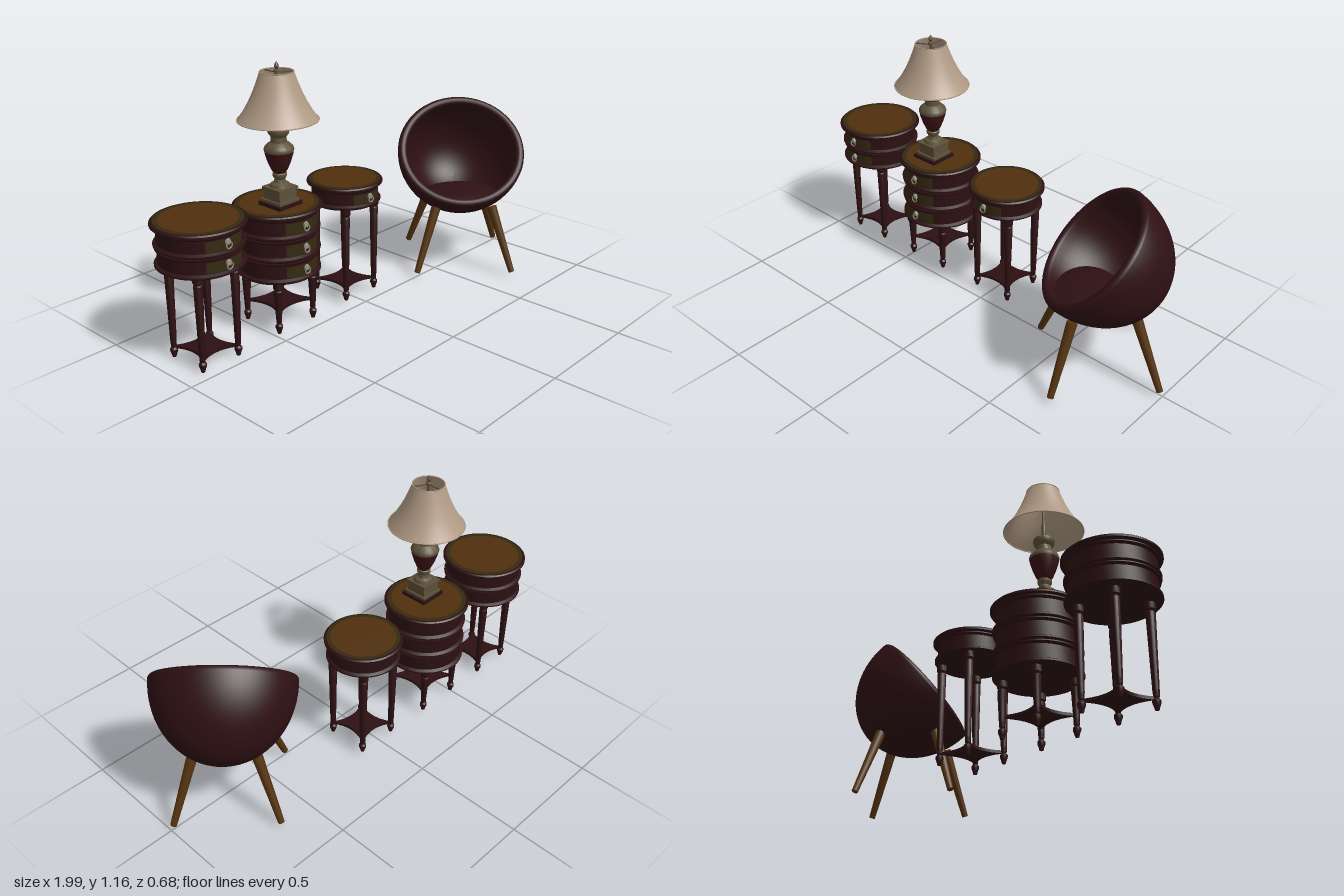
import * as THREE from 'three';
import { toCreasedNormals } from 'three/addons/utils/BufferGeometryUtils.js';

const mat = (name, color, side = THREE.FrontSide) => {
  const m = new THREE.MeshStandardMaterial({ color, side });
  m.name = name;
  return m;
};

export function createModel() {
  const darkWood = mat('dark red wood', 0x2c1012);
  const fabric = mat('maroon fabric', 0x2e1013);
  const gold = mat('inlaid golden top', 0x50300f);
  const olive = mat('olive border', 0x342a10);
  const oak = mat('brown leg wood', 0x54330f);
  const bronze = mat('aged bronze', 0x5c5038);
  const pewter = mat('pewter pulls', 0x908a7c);
  const glaze = mat('red glaze', 0x3a1214);
  const linen = mat('linen shade', 0xb09a84, THREE.DoubleSide);

  const model = new THREE.Group();
  const add = (parent, name, geo, material, x = 0, y = 0, z = 0) => {
    const m = new THREE.Mesh(geo, material);
    m.name = name;
    m.position.set(x, y, z);
    parent.add(m);
    return m;
  };
  const group = (name, x, y, z, parent = model) => {
    const g = new THREE.Group();
    g.name = name;
    g.position.set(x, y, z);
    parent.add(g);
    return g;
  };
  // Turned shape from [radius, height] pairs, bottom to top
  const turned = (pts, seg = 48, crease = 0.6) => toCreasedNormals(
    new THREE.LatheGeometry(pts.map(([r, y]) => new THREE.Vector2(r, y)), seg), crease);

  // ---- Round side table with a stack of drawers ----
  function table(name, x, o) {
    const g = group(name, x, 0, -0.15);
    const { R, top, bottom, drawers, foot, shelf, leg } = o;
    const slab = 0.018;
    const h = (top - slab - bottom) / drawers;

    add(g, 'tableTop', turned([[0, top - slab], [R * 0.94, top - slab], [R, top - slab * 0.7],
      [R, top - slab * 0.3], [R * 0.97, top], [0, top]], 64), darkWood);
    add(g, 'topBorder', new THREE.CylinderGeometry(R * 0.93, R * 0.93, 0.002, 64), olive, 0, top + 0.0005, 0);
    add(g, 'topInlay', new THREE.CylinderGeometry(R * 0.83, R * 0.83, 0.002, 64), gold, 0, top + 0.0015, 0);

    for (let i = 0; i < drawers; i++) {
      const y = bottom + i * h;
      const r = R * 0.88;
      add(g, 'drawer', turned([[0, y], [r, y], [R * 0.95, y + h * 0.1], [R * 0.95, y + h * 0.17],
        [r, y + h * 0.25], [r, y + h * 0.86], [R * 0.93, y + h * 0.95], [R * 0.93, y + h], [0, y + h]], 64), darkWood);
      // Curved front panel with a rosette and drop ring
      const mid = y + h * 0.55;
      add(g, 'drawerPanel', new THREE.CylinderGeometry(r + 0.003, r + 0.003, h * 0.52, 16, 1, true, -0.55, 1.1),
        olive, 0, mid, 0);
      const rosette = add(g, 'pullRosette', new THREE.CylinderGeometry(0.01, 0.015, 0.012, 12), pewter, 0, mid + 0.006, r + 0.006);
      rosette.rotation.x = Math.PI / 2;
      add(g, 'pullRing', new THREE.TorusGeometry(0.014, 0.003, 6, 20), pewter, 0, mid - 0.006, r + 0.011);
    }

    // Tapered turned legs
    const L = bottom + 0.01 - foot;
    const legGeo = turned([[0, 0], [0.008, 0], [0.011, 0.012], [0.016, 0.026], [0.016, 0.036], [0.009, 0.044],
      [0.012, 0.05], [0.012, 0.06], [0.013, 0.075], [0.019, L - 0.05], [0.015, L - 0.044],
      [0.021, L - 0.036], [0.021, L]], 14);
    for (const sx of [-1, 1]) for (const sz of [-1, 1]) add(g, 'tableLeg', legGeo, darkWood, sx * leg, foot, sz * leg);

    // Lower shelf with hollowed sides
    const c = leg + 0.005, k = leg * 0.35;
    const s = new THREE.Shape();
    s.moveTo(-c, -c);
    s.quadraticCurveTo(0, -k, c, -c);
    s.quadraticCurveTo(k, 0, c, c);
    s.quadraticCurveTo(0, k, -c, c);
    s.quadraticCurveTo(-k, 0, -c, -c);
    const shelfGeo = new THREE.ExtrudeGeometry(s, { depth: 0.012, bevelEnabled: false, curveSegments: 14 });
    shelfGeo.rotateX(-Math.PI / 2);
    add(g, 'lowerShelf', shelfGeo, darkWood, 0, shelf - 0.006, 0);
  }
  table('twoDrawerTable', -0.803, { R: 0.192, top: 0.604, bottom: 0.415, drawers: 2, foot: 0, shelf: 0.045, leg: 0.092 });
  table('threeDrawerTable', -0.39, { R: 0.19, top: 0.555, bottom: 0.25, drawers: 3, foot: 0.015, shelf: 0.105, leg: 0.1 });
  table('oneDrawerTable', 0.022, { R: 0.17, top: 0.558, bottom: 0.455, drawers: 1, foot: 0.015, shelf: 0.065, leg: 0.093 });

  // ---- Table lamp ----
  const lamp = group('lamp', -0.4, 0.556, -0.117);
  const steps = [[0.13, 0, 0.016, darkWood], [0.112, 0.016, 0.012, bronze], [0.094, 0.028, 0.044, bronze], [0.106, 0.072, 0.01, bronze]];
  for (const [w, y, h, m] of steps) add(lamp, 'lampPlinth', new THREE.BoxGeometry(w, h, w), m, 0, y + h / 2, 0);
  add(lamp, 'lampFoot', turned([[0.044, 0.082], [0.04, 0.094], [0.026, 0.102], [0.022, 0.115], [0.03, 0.128],
    [0.03, 0.138], [0.024, 0.144]], 32), bronze);
  add(lamp, 'lampBody', turned([[0.024, 0.14], [0.034, 0.155], [0.047, 0.185], [0.058, 0.22], [0.061, 0.236]], 40), glaze);
  add(lamp, 'lampShoulder', turned([[0.061, 0.234], [0.063, 0.242], [0.059, 0.254], [0.046, 0.266], [0.034, 0.274],
    [0.032, 0.296], [0.042, 0.308], [0.046, 0.322], [0.044, 0.33], [0.022, 0.334], [0.02, 0.345], [0.009, 0.348],
    [0.009, 0.4], [0.006, 0.405], [0.006, 0.568], [0, 0.568]], 40), bronze);
  const shadeTop = 0.565;
  add(lamp, 'lampShade', new THREE.LatheGeometry([[0.167, 0.367], [0.143, 0.4], [0.12, 0.44], [0.101, 0.48], [0.085, 0.52],
    [0.069, shadeTop]].map(([r, y]) => new THREE.Vector2(r, y)), 48), linen);
  for (const [r, y] of [[0.167, 0.368], [0.069, shadeTop]]) {
    add(lamp, 'shadeTrim', new THREE.TorusGeometry(r, 0.0025, 6, 48), linen, 0, y, 0).rotation.x = Math.PI / 2;
  }
  // Three-armed shade support
  for (let i = 0; i < 3; i++) {
    const arm = group('shadeArm', 0, shadeTop - 0.004, 0, lamp);
    arm.rotation.y = Math.PI + i * Math.PI * 2 / 3;
    add(arm, 'armRod', new THREE.BoxGeometry(0.005, 0.004, 0.068), bronze, 0, 0, 0.034);
  }
  add(lamp, 'lampFinial', turned([[0.012, 0.562], [0.012, 0.57], [0.005, 0.575], [0.01, 0.586], [0.007, 0.597], [0, 0.606]], 16), bronze);

  // ---- Egg-shaped tub chair, turned toward the front right ----
  const chair = group('chair', 0.673, 0, 0.002);
  const body = group('chairBody', 0, 0, 0, chair);
  body.rotation.y = -Math.PI / 4;
  const profile = [];
  for (let i = 0; i <= 20; i++) {           // outer shell
    const a = i / 20 * Math.PI / 2;
    profile.push(new THREE.Vector2(Math.sin(a), -0.345 * Math.cos(a)));
  }
  for (let i = 1; i < 8; i++) {             // rolled lip
    const a = i / 8 * Math.PI;
    profile.push(new THREE.Vector2(0.93 + 0.07 * Math.cos(a), 0.02 * Math.sin(a)));
  }
  for (let i = 0; i <= 16; i++) {           // inner bowl
    const a = i / 16 * Math.PI / 2;
    profile.push(new THREE.Vector2(0.86 * Math.cos(a), -0.29 * Math.sin(a)));
  }
  const shellGeo = new THREE.LatheGeometry(profile, 56);
  shellGeo.scale(0.303, 1, 0.29);
  const shell = add(body, 'chairShell', shellGeo, fabric, 0, 0.575, 0.045);
  shell.rotation.x = 0.834;
  const cushion = add(body, 'seatCushion', new THREE.SphereGeometry(1, 36, 20), fabric, 0, 0.355, 0.055);
  cushion.scale.set(0.195, 0.045, 0.155);

  // Splayed legs
  const up = new THREE.Vector3(0, 1, 0);
  const chairLeg = (fx, fz, tx, tz) => {
    const foot = new THREE.Vector3(fx, 0.02, fz), head = new THREE.Vector3(tx, 0.325, tz);
    const dir = head.clone().sub(foot);
    const leg = add(chair, 'chairLeg', new THREE.CylinderGeometry(0.023, 0.014, dir.length(), 20), oak);
    leg.position.copy(foot).add(head).multiplyScalar(0.5);
    leg.quaternion.setFromUnitVectors(up, dir.normalize());
  };
  chairLeg(-0.31, 0, -0.18, 0.005);
  chairLeg(0.313, 0, 0.175, 0.005);
  chairLeg(0.005, 0.328, 0, 0.2);
  chairLeg(-0.012, -0.303, -0.005, -0.18);

  return model;
}
